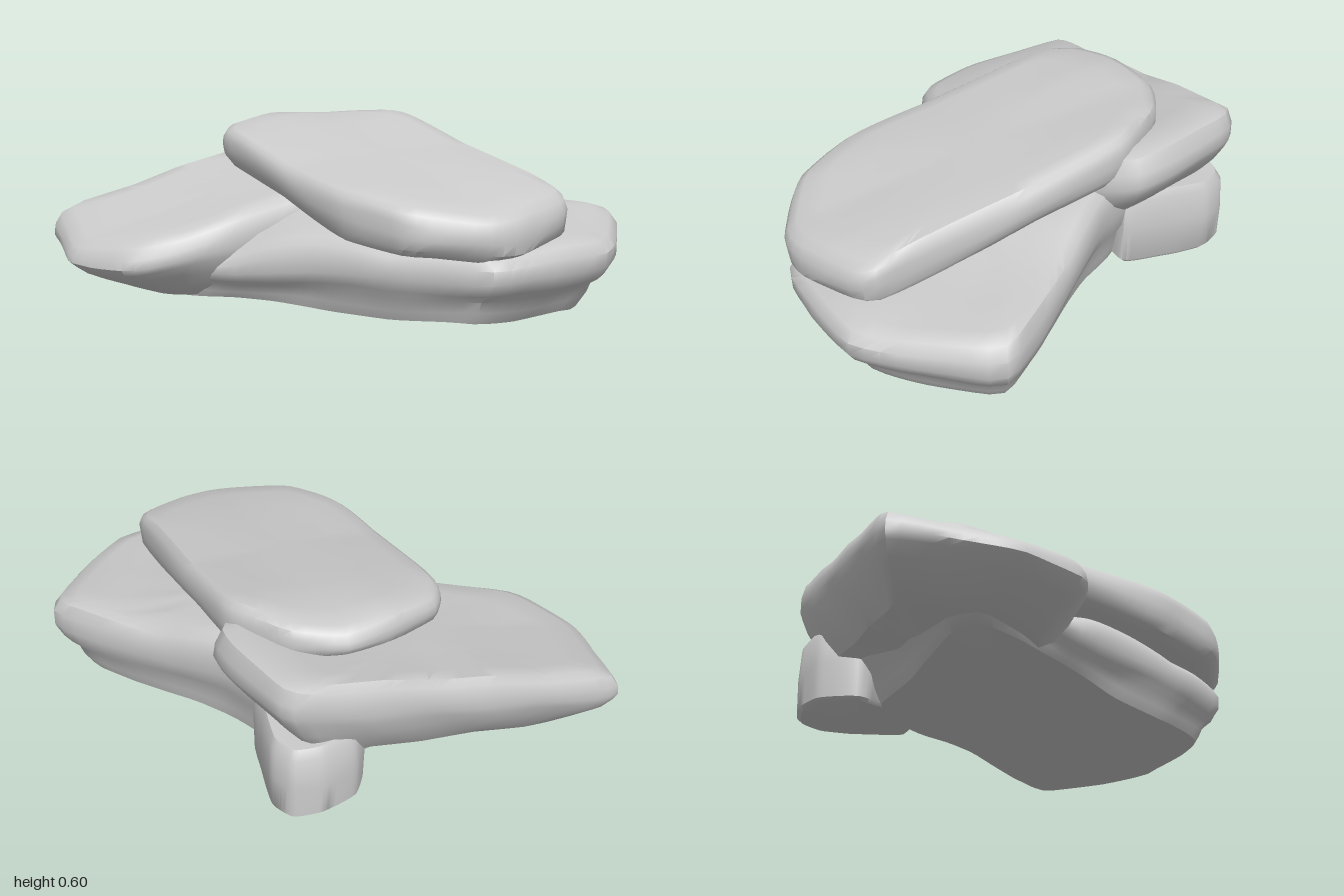
import * as THREE from 'three';
import { toCreasedNormals } from 'three/addons/utils/BufferGeometryUtils.js';

const material = new THREE.MeshStandardMaterial({ color: 0xcccccc });
const SEGMENTS = 80;

// Rim sections from the underside to the top: [scale about the centre, level 0..1]
const ROUNDED = [[0.001, 0], [0.45, 0], [0.82, 0], [0.92, 0.1], [0.98, 0.28], [1, 0.5],
  [0.99, 0.72], [0.96, 0.9], [0.91, 0.99], [0.78, 1], [0.55, 1], [0.3, 1], [0.001, 1]];
const UNDERCUT = [[0.001, 0], [0.5, 0], [0.84, 0], [0.88, 0.15], [0.91, 0.32], [0.97, 0.44], [1, 0.62],
  [0.99, 0.82], [0.95, 0.95], [0.88, 1], [0.72, 1], [0.5, 1], [0.3, 1], [0.001, 1]];
const TAPERED = [[0.001, 0], [0.4, 0], [0.69, 0], [0.81, 0.17], [0.92, 0.38], [0.98, 0.54], [1, 0.64],
  [0.99, 0.78], [0.95, 0.93], [0.88, 1], [0.7, 1], [0.5, 1], [0.3, 1], [0.001, 1]];
const UPRIGHT = [[0.001, 0], [0.9, 0], [0.97, 0.05], [1, 0.5], [0.95, 0.9], [0.85, 1], [0.001, 1]];

// Broad, slightly angular surface unevenness
const fold = (t) => Math.asin(Math.sin(t)) / 1.57;
const rough = (x, y, z, k) =>
  0.6 * fold(7 * x + 4 * z + 9 * y + k) + 0.4 * fold(13 * z - 9 * x + 15 * y + 2 * k);

// A stone slab lofted through scaled copies of its plan outline
function slab(name, outline, bottom, top, sections, seed) {
  const curve = new THREE.CatmullRomCurve3(
    outline.map(([x, z]) => new THREE.Vector3(x, 0, z)), true, 'catmullrom', 0.25);
  const plan = curve.getSpacedPoints(SEGMENTS).slice(0, SEGMENTS);
  const centre = plan.reduce((c, p) => c.add(p), new THREE.Vector3()).divideScalar(SEGMENTS);
  const positions = [];
  const indices = [];
  sections.forEach(([scale, level], i) => {
    plan.forEach((p, j) => {
      let x = centre.x + (p.x - centre.x) * scale;
      let z = centre.z + (p.z - centre.z) * scale;
      const low = bottom(x, z);
      let y = low + (top(x, z) - low) * level;
      // Chips on the rim, shallow waves on the flat faces
      const side = Math.max(0, 1 - Math.abs(level - 0.5) * 2) * scale;
      const chip = 1 - side * 0.02 * (1 + rough(p.x, y * 0.7, p.z, seed));
      x = centre.x + (x - centre.x) * chip;
      z = centre.z + (z - centre.z) * chip;
      y += 0.012 * rough(x, 0, z, seed + level * 3) * Math.min(1, scale * 2);
      positions.push(x, Math.max(0, y), z);
      if (i < sections.length - 1) {
        const a = i * SEGMENTS + j;
        const b = i * SEGMENTS + (j + 1) % SEGMENTS;
        indices.push(a, a + SEGMENTS, b, b, a + SEGMENTS, b + SEGMENTS);
      }
    });
  });
  const geometry = new THREE.BufferGeometry();
  geometry.setAttribute('position', new THREE.Float32BufferAttribute(positions, 3));
  geometry.setIndex(indices);
  const mesh = new THREE.Mesh(toCreasedNormals(geometry, 0.75), material);
  mesh.name = name;
  return mesh;
}

export function createModel() {
  const group = new THREE.Group();
  group.name = 'stackedRocks';

  // Wide stone lying on the ground, swelling in the middle
  group.add(slab('baseSlab', [
    [-0.76, 0.36], [-0.55, -0.05], [-0.42, -0.36], [-0.15, -0.45], [0.1, -0.45], [0.45, -0.5],
    [0.81, -0.54], [0.88, -0.48], [0.98, -0.2], [1.01, -0.03], [0.91, 0.2], [0.8, 0.38],
    [0.5, 0.43], [0.12, 0.43], [-0.18, 0.46], [-0.5, 0.5], [-0.72, 0.49],
  ], () => 0.005, (x, z) => 0.27 - 0.2 * z * (1 - x)
    + 0.1 * Math.max(0, 1 - ((x - 0.1) ** 2 + z * z) / 0.28), UNDERCUT, 1.3));

  // Long stone rising toward the back, its front end resting on the ground
  group.add(slab('slopingSlab', [
    [-1.01, 0.4], [-0.96, 0.28], [-0.9, 0.17], [-0.66, -0.25], [-0.43, -0.66], [-0.35, -0.69],
    [-0.1, -0.61], [0.03, -0.54], [0.09, -0.38], [0.04, 0.02], [-0.1, 0.3], [-0.2, 0.48],
    [-0.3, 0.6], [-0.43, 0.69], [-0.7, 0.67], [-0.87, 0.53],
  ], (x, z) => Math.max(0.015, 0.09 - 0.2 * z),
  (x, z) => Math.min(0.56, 0.38 - 0.27 * z + 0.06 * (x + 0.5)), TAPERED, 4.1));

  // Stone supporting the raised back end
  group.add(slab('backFoot', [
    [-0.5, -0.44], [-0.47, -0.58], [-0.4, -0.66], [-0.3, -0.65], [-0.16, -0.54],
    [-0.05, -0.44], [-0.14, -0.3], [-0.42, -0.3],
  ], () => 0.01, () => 0.29, UPRIGHT, 2.2));

  // Tilted stone lying across the other two
  group.add(slab('topSlab', [
    [-0.5, 0], [-0.47, -0.2], [-0.4, -0.36], [-0.23, -0.47], [0, -0.49], [0.12, -0.44],
    [0.6, -0.18], [0.86, -0.04], [0.89, 0.05], [0.85, 0.3], [0.79, 0.4], [0.56, 0.53],
    [0.3, 0.51], [0.12, 0.43], [-0.3, 0.2], [-0.45, 0.11],
  ], (x, z) => 0.365 - 0.17 * x - 0.1 * z,
  (x, z) => Math.min(0.592, 0.53 - 0.116 * x - 0.13 * z - 0.03 * x * x), ROUNDED, 0.4));

  return group;
}
